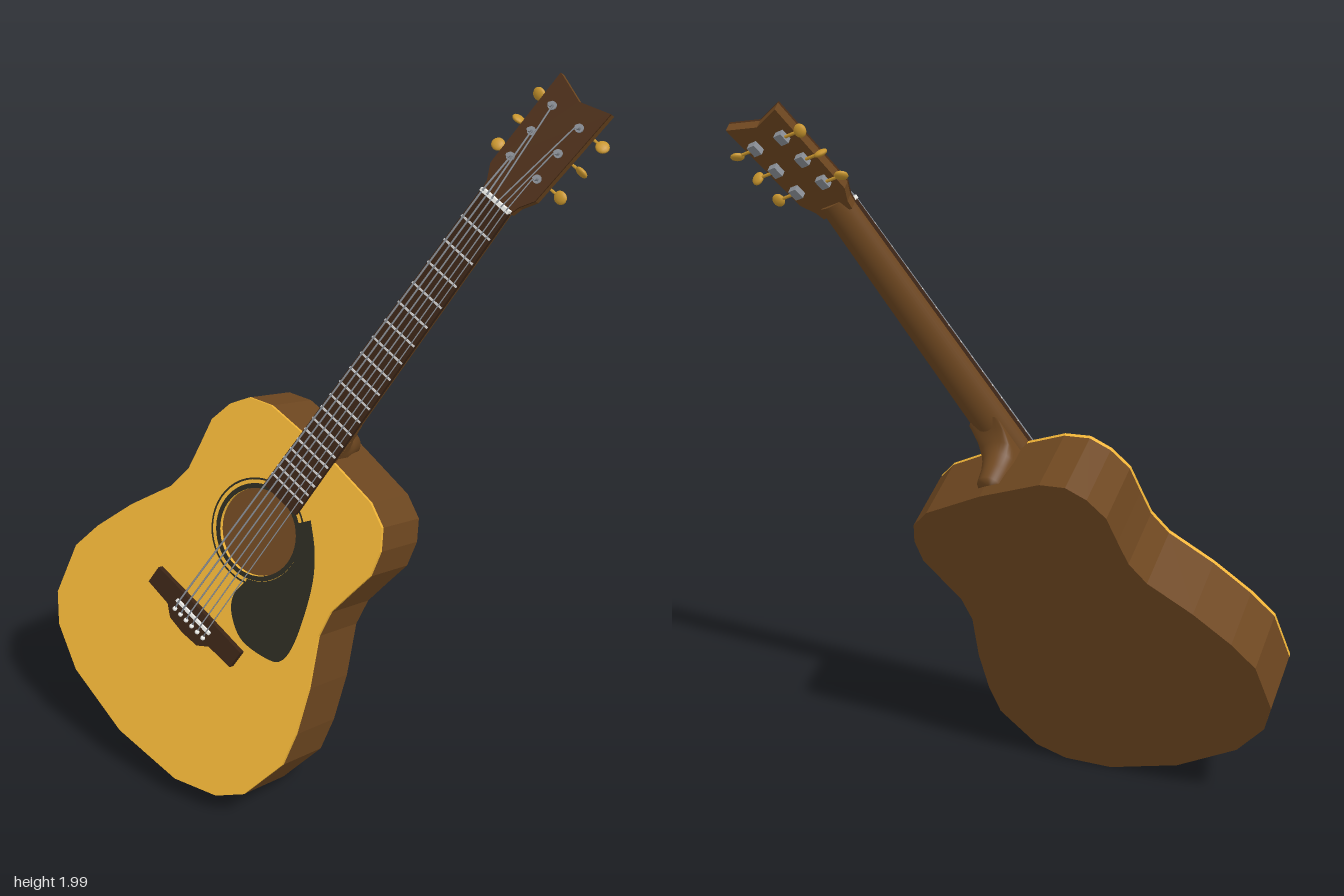
import * as THREE from 'three';

const mat = (color, extra = {}) => new THREE.MeshStandardMaterial({ color, ...extra });
const wood = mat(0x6e4720), spruce = mat(0xf0b437), ebony = mat(0x3a2416), veneer = mat(0x4b2d16);
const black = mat(0x2b2a20), gold = mat(0xc9962e), steel = mat(0x8a8f96), fretMetal = mat(0xcccccc), bone = mat(0xeeeeea);
const heelWood = mat(0x6e4720, { side: THREE.DoubleSide });

const TOP = 0, DEPTH = 0.205;      // soundboard height and body depth
const NUT = 1.1, SADDLE = -0.31;   // string ends along the neck axis
const HOLE = 0.118;

function add(parent, name, geometry, material, x = 0, y = 0, z = 0) {
  const mesh = new THREE.Mesh(geometry, material);
  mesh.name = name;
  mesh.position.set(x, y, z);
  parent.add(mesh);
  return mesh;
}

const shapeOf = pts => new THREE.Shape(pts.map(p => new THREE.Vector2(...p)));
const slab = (shape, depth, curveSegments = 24) =>
  new THREE.ExtrudeGeometry(shape, { depth, bevelEnabled: false, curveSegments });

// Mirrors a half outline of [halfWidth, y] running from bottom to top
function mirrored(half, scale = 1) {
  const right = half.map(([x, y]) => [x * scale, y * scale]);
  const left = right.filter(p => p[0] > 0).reverse().map(([x, y]) => [-x, y]);
  return [...right, ...left];
}

// Thin rod between two points
function rod(parent, name, a, b, radius, material) {
  const from = new THREE.Vector3(...a), to = new THREE.Vector3(...b);
  const dir = to.clone().sub(from);
  const mesh = add(parent, name, new THREE.CylinderGeometry(radius, radius, dir.length(), 6), material);
  mesh.position.copy(from).addScaledVector(dir, 0.5);
  mesh.quaternion.setFromUnitVectors(new THREE.Vector3(0, 1, 0), dir.normalize());
}

function buildBody() {
  const body = new THREE.Group();
  body.name = 'body';
  const half = [[0, -0.75], [0.215, -0.722], [0.338, -0.66], [0.398, -0.59], [0.432, -0.44], [0.41, -0.345],
    [0.362, -0.22], [0.295, -0.09], [0.282, -0.015], [0.294, 0.06], [0.308, 0.14], [0.29, 0.21],
    [0.255, 0.262], [0.19, 0.29], [0, 0.3]];
  const cx = 0.012;

  // Rim with a hollow inside
  const rim = shapeOf(mirrored(half));
  rim.holes.push(new THREE.Path(mirrored(half, 0.97).map(p => new THREE.Vector2(...p))));
  add(body, 'sides', slab(rim, DEPTH - 0.02), wood, cx, 0, -DEPTH + 0.01);
  add(body, 'back', slab(shapeOf(mirrored(half)), 0.01), wood, cx, 0, -DEPTH);

  const top = shapeOf(mirrored(half));
  const hole = new THREE.Path();
  hole.absarc(-cx, 0, HOLE, 0, Math.PI * 2, true);
  top.holes.push(hole);
  add(body, 'soundboard', slab(top, 0.01), spruce, cx, 0, -0.01);

  // Rosette
  add(body, 'rosetteInner', new THREE.RingGeometry(HOLE, 0.131, 48), black, 0, 0, 0.002);
  add(body, 'rosetteOuter', new THREE.RingGeometry(0.141, 0.146, 48), black, 0, 0, 0.002);

  // Pickguard hugging the sound hole
  const guard = new THREE.Shape();
  guard.moveTo(0.1, 0.135);
  guard.splineThru([[0.164, 0.074], [0.215, -0.007], [0.262, -0.138], [0.268, -0.216], [0.23, -0.246],
    [0.144, -0.261], [0.078, -0.228], [0.05, -0.182], [0.056, -0.126]].map(p => new THREE.Vector2(...p)));
  guard.absarc(0, 0, 0.132, -1.15, 0.93, false);
  add(body, 'pickguard', slab(guard, 0.004), black, 0, 0, 0.0005);
  return body;
}

function buildBridge() {
  const bridge = new THREE.Group();
  bridge.name = 'bridge';
  const half = [[0, -0.372], [0.055, -0.367], [0.085, -0.342], [0.168, -0.338], [0.168, -0.284], [0, -0.282]];
  add(bridge, 'bridgePlate', slab(shapeOf(mirrored(half)), 0.018), ebony);
  add(bridge, 'saddle', new THREE.BoxGeometry(0.135, 0.008, 0.012), bone, 0, SADDLE, 0.02);
  for (let i = 0; i < 6; i++) {
    const pin = add(bridge, 'bridgePin', new THREE.SphereGeometry(0.007, 8, 6), bone, (i - 2.5) * 0.023, -0.335, 0.02);
    pin.rotation.x = Math.PI / 2;
  }
  return bridge;
}

const boardHalf = y => 0.061 - 0.013 * (y - 0.12) / (NUT - 0.12);

function buildNeck() {
  const neck = new THREE.Group();
  neck.name = 'neck';
  const half = [[0, 0.12], [boardHalf(0.12), 0.12], [boardHalf(NUT), NUT], [0, NUT]];
  add(neck, 'fretboard', slab(shapeOf(mirrored(half)), 0.014), ebony);
  add(neck, 'nut', new THREE.BoxGeometry(0.096, 0.01, 0.022), bone, 0, NUT + 0.003, 0.009);
  for (let i = 1; i <= 19; i++) {
    const y = SADDLE + (NUT - SADDLE) * 2 ** (-i / 12);
    add(neck, 'fret', new THREE.BoxGeometry(boardHalf(y) * 2, 0.005, 0.004), fretMetal, 0, y, 0.015);
  }

  // Half-round shaft
  const y0 = 0.29, y1 = NUT + 0.025;
  const shaft = new THREE.CylinderGeometry(boardHalf(y1), boardHalf(y0), y1 - y0, 20, 1, false, Math.PI / 2, Math.PI);
  shaft.scale(1, 1, 0.82);
  add(neck, 'neckShaft', shaft, heelWood, 0, (y0 + y1) / 2, 0);

  // Heel: half lathe flaring into the shaft, kept within the neck width
  const profile = [[0, -0.165], [0.034, -0.165], [0.04, -0.12], [0.05, -0.085], [0.066, -0.06], [0.1, -0.044], [0.13, -0.036]]
    .map(p => new THREE.Vector2(...p));
  const heel = new THREE.LatheGeometry(profile, 20, Math.PI / 2, Math.PI);
  heel.rotateX(Math.PI / 2);
  const pos = heel.attributes.position;
  for (let i = 0; i < pos.count; i++) pos.setX(i, THREE.MathUtils.clamp(pos.getX(i), -0.048, 0.048));
  heel.computeVertexNormals();
  add(neck, 'heel', heel, heelWood, 0, 0.295, 0);
  return neck;
}

function buildHeadstock() {
  const head = new THREE.Group();
  head.name = 'headstock';
  head.position.set(0, NUT, 0.006);
  head.rotation.x = -0.183;
  const half = [[0, 0], [0.048, 0], [0.054, 0.025], [0.076, 0.062], [0.083, 0.332], [0, 0.307]];
  add(head, 'headstockCore', slab(shapeOf(mirrored(half)), 0.024), wood, 0, 0, -0.03);
  add(head, 'headstockFace', slab(shapeOf(mirrored(half)), 0.006), veneer, 0, 0, -0.006);

  // Tuners on both sides
  for (const side of [-1, 1]) {
    [0.105, 0.183, 0.26].forEach((y, i) => {
      const x = side * 0.045;
      const tuner = new THREE.Group();
      tuner.name = 'tuner';
      head.add(tuner);
      const washer = add(tuner, 'tunerWasher', new THREE.CylinderGeometry(0.011, 0.011, 0.006, 12), steel, x, y, 0.002);
      washer.rotation.x = Math.PI / 2;
      rod(tuner, 'tunerPost', [x, y, -0.03], [x, y, 0.024], 0.006, steel);
      add(tuner, 'tunerGear', new THREE.BoxGeometry(0.024, 0.03, 0.018), steel, x, y, -0.038);
      rod(tuner, 'tunerShaft', [x, y, -0.04], [side * 0.095, y, -0.04], 0.004, gold);
      const button = add(tuner, 'tunerButton', new THREE.SphereGeometry(0.018, 12, 8), gold, side * 0.106, y, -0.04);
      button.scale.set(1, 0.95, 0.45);
      button.rotation.x = [0.3, 1.2, -0.5][i] * side;
    });
  }
  return head;
}

function buildStrings(guitar, head) {
  for (let i = 0; i < 6; i++) {
    const k = i - 2.5, side = Math.sign(k);
    const post = [0.26, 0.183, 0.105][Math.round(Math.abs(k) - 0.5)];
    const radius = 0.0026 - i * 0.0002;
    rod(guitar, 'string', [k * 0.023, -0.335, 0.02], [k * 0.023, SADDLE, 0.028], radius, steel);
    rod(guitar, 'string', [k * 0.023, SADDLE, 0.028], [k * 0.016, NUT, 0.022], radius, steel);
    rod(head, 'stringEnd', [k * 0.016, 0, 0.016], [side * 0.04, post, 0.014], radius, steel);
  }
}

export function createModel() {
  const model = new THREE.Group();
  model.name = 'acousticGuitar';
  const guitar = new THREE.Group();
  guitar.name = 'leaningGuitar';
  const head = buildHeadstock();
  guitar.add(buildBody(), buildBridge(), buildNeck(), head);
  buildStrings(guitar, head);

  // Leans back and tips towards its left; origin is the sound hole centre
  guitar.rotation.set(THREE.MathUtils.degToRad(-20), 0, THREE.MathUtils.degToRad(-26));
  guitar.position.set(-0.045, 0.775, 0.123 + TOP);
  model.add(guitar);
  return model;
}
